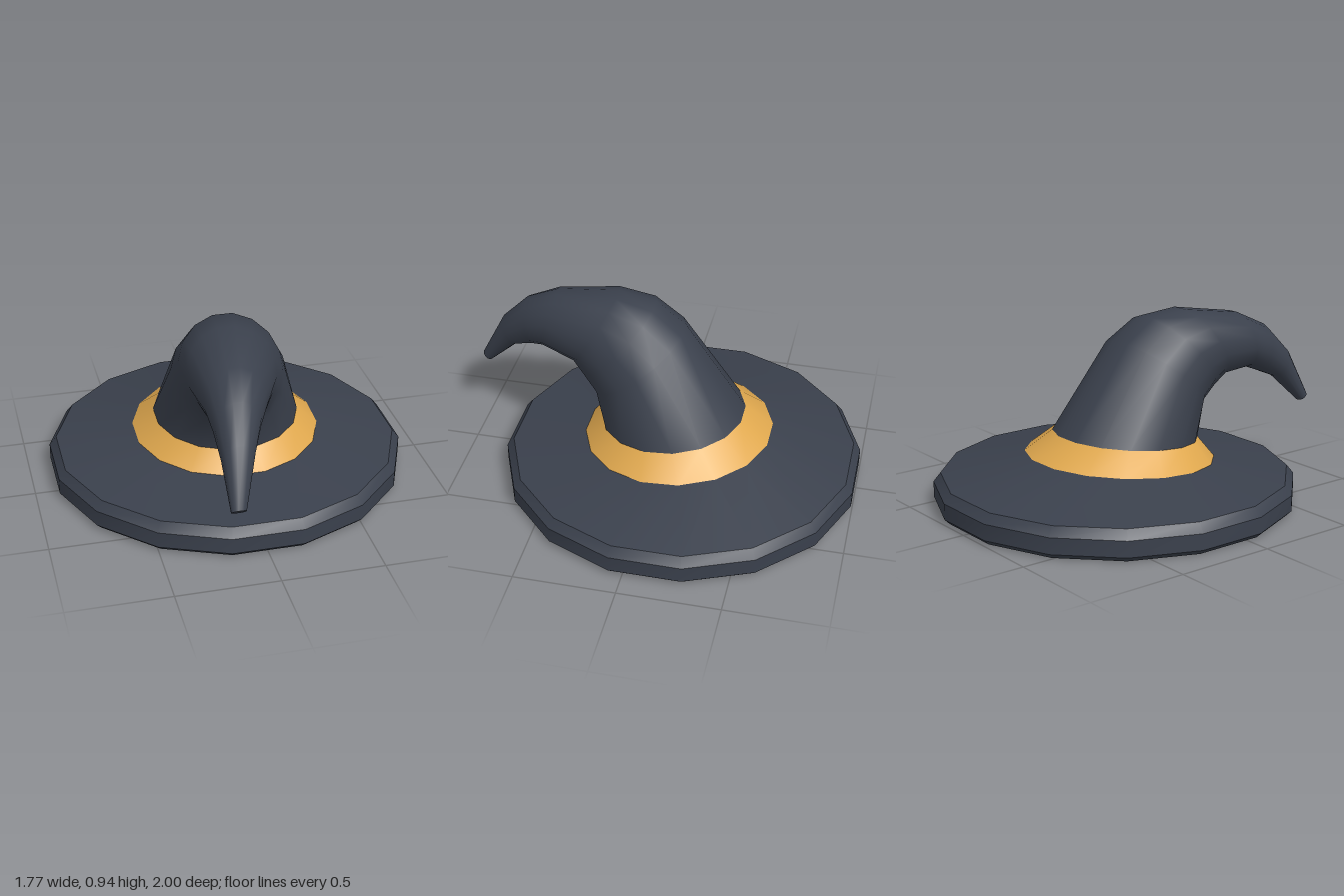
import * as THREE from 'three';
import { toCreasedNormals } from 'three/addons/utils/BufferGeometryUtils.js';

const SIDES = 16;

// A ring is [front z, front y, back z, back y, centre x, x radius].
function ringPoints([fz, fy, bz, by, cx, rx]) {
  const k = 1 / Math.cos(Math.PI / SIDES); // flats, not corners, face front and back
  const pts = [];
  for (let j = 0; j < SIDES; j++) {
    const t = ((j + 0.5) / SIDES) * Math.PI * 2;
    const c = Math.cos(t) * k, s = Math.sin(t) * k;
    pts.push([cx + rx * s, (fy + by) / 2 + ((fy - by) / 2) * c, (fz + bz) / 2 + ((fz - bz) / 2) * c]);
  }
  return pts;
}

// Skin a stack of rings, optionally closing the first and last.
function loft(rings, crease, capStart, capEnd) {
  const rows = rings.map(ringPoints);
  const pos = [];
  const tri = (a, b, c) => pos.push(...a, ...b, ...c);
  for (let i = 0; i < rows.length - 1; i++) {
    for (let j = 0; j < SIDES; j++) {
      const n = (j + 1) % SIDES;
      tri(rows[i][j], rows[i][n], rows[i + 1][n]);
      tri(rows[i][j], rows[i + 1][n], rows[i + 1][j]);
    }
  }
  const first = rows[0], last = rows[rows.length - 1];
  for (let j = 1; j < SIDES - 1; j++) {
    if (capStart) tri(first[0], first[j + 1], first[j]);
    if (capEnd) tri(last[0], last[j], last[j + 1]);
  }
  const geo = new THREE.BufferGeometry();
  geo.setAttribute('position', new THREE.Float32BufferAttribute(pos, 3));
  return toCreasedNormals(geo, crease);
}

export function createModel() {
  const felt = new THREE.MeshStandardMaterial({ color: 0x3a404c });
  felt.name = 'dark felt';
  const gold = new THREE.MeshStandardMaterial({ color: 0xe0a84e });
  gold.name = 'gold band';

  const flat = (y, r) => [-0.11 + r, y, -0.11 - r, y, 0, r];
  const bandBase = [0.38, 0.2, -0.55, 0.26, -0.007, 0.462];
  const crownBase = [0.3, 0.3, -0.41, 0.36, -0.012, 0.357];

  const group = new THREE.Group();
  group.name = 'pointedHat';
  const add = (name, geo, mat) => {
    const mesh = new THREE.Mesh(geo, mat);
    mesh.name = name;
    group.add(mesh);
  };

  // Bevelled disc rising to the band
  add('brim', loft([flat(0, 0.86), flat(0.025, 0.885), flat(0.105, 0.885), flat(0.15, 0.85), bandBase], 0.5, true, false), felt);

  // Tilted collar around the crown
  add('band', loft([bandBase, crownBase], 0.8, false, false), gold);

  // Cone that bends forward and droops to a blunt tip
  add('crown', loft([
    crownBase,
    [0.34, 0.455, -0.1, 0.8, -0.032, 0.28],
    [0.4, 0.515, 0.05, 0.91, -0.05, 0.25],
    [0.46, 0.57, 0.24, 0.935, -0.075, 0.214],
    [0.63, 0.59, 0.56, 0.885, -0.115, 0.147],
    [0.7, 0.563, 0.73, 0.805, -0.14, 0.112],
    [0.8, 0.52, 0.87, 0.66, -0.165, 0.078],
    [0.955, 0.37, 1.0, 0.41, -0.197, 0.035],
  ], 1.1, false, true), felt);

  return group;
}
